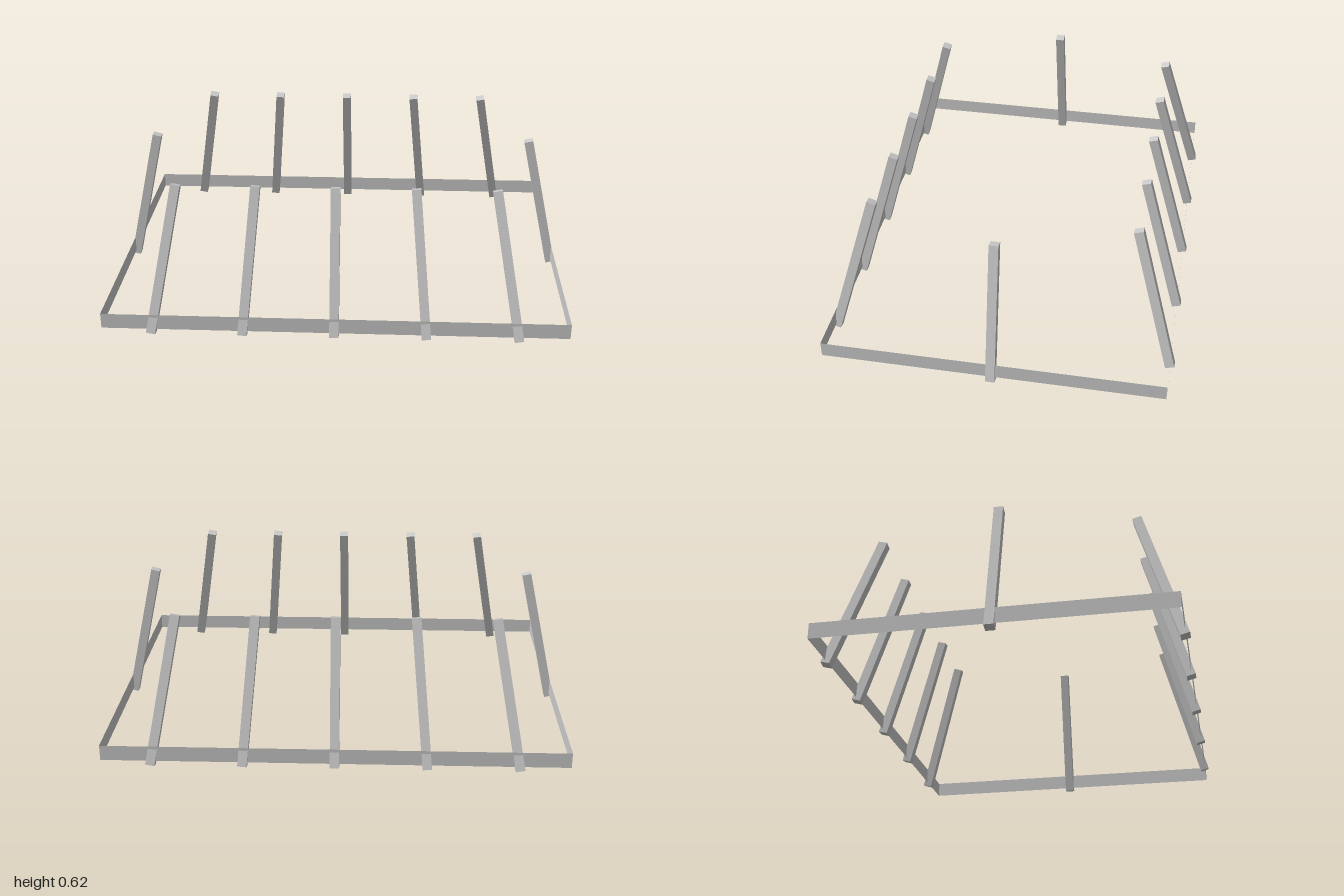
import * as THREE from 'three';

export function createModel() {
  const model = new THREE.Group();
  model.name = 'stakedFrame';
  const grey = new THREE.MeshStandardMaterial({ color: 0xcccccc, side: THREE.DoubleSide });
  grey.name = 'lightGrey';

  const UP = new THREE.Vector3(0, 1, 0);
  const HALF_X = 0.98, HALF_Z = 0.72;
  const POST = 0.039, FOOT_Y = 0.011, TOP_Y = 0.617;

  // Square post leaning from its foot to its top
  function addPost(name, footX, footZ, topX, topZ) {
    const foot = new THREE.Vector3(footX, FOOT_Y, footZ);
    const top = new THREE.Vector3(topX, TOP_Y, topZ);
    const dir = top.clone().sub(foot);
    const post = new THREE.Mesh(new THREE.BoxGeometry(POST, dir.length(), POST), grey);
    post.position.copy(foot).add(top).multiplyScalar(0.5);
    post.quaternion.setFromUnitVectors(UP, dir.normalize());
    post.name = name;
    model.add(post);
  }

  // Paper-thin upright band of the base frame
  function addRail(name, length, x, z, turn) {
    const rail = new THREE.Mesh(new THREE.PlaneGeometry(length, 0.067), grey);
    rail.position.set(x, 0.061, z);
    rail.rotation.y = turn;
    rail.name = name;
    model.add(rail);
  }

  addRail('frontRail', 2 * HALF_X, 0, HALF_Z, 0);
  addRail('backRail', 2 * HALF_X, 0, -HALF_Z, Math.PI);
  addRail('leftRail', 2 * HALF_Z, HALF_X, 0, Math.PI / 2);
  addRail('rightRail', 2 * HALF_Z, -HALF_X, 0, -Math.PI / 2);

  // Five posts along the front and back, one at each end
  for (const s of [1, -1]) {
    for (let i = -2; i <= 2; i++) {
      addPost(s > 0 ? 'frontPost' : 'backPost', i * 0.385, s * 0.72, i * 0.33, s * 0.547);
    }
    addPost(s > 0 ? 'leftPost' : 'rightPost', s * 0.98, 0, s * 0.841, 0);
  }
  return model;
}
